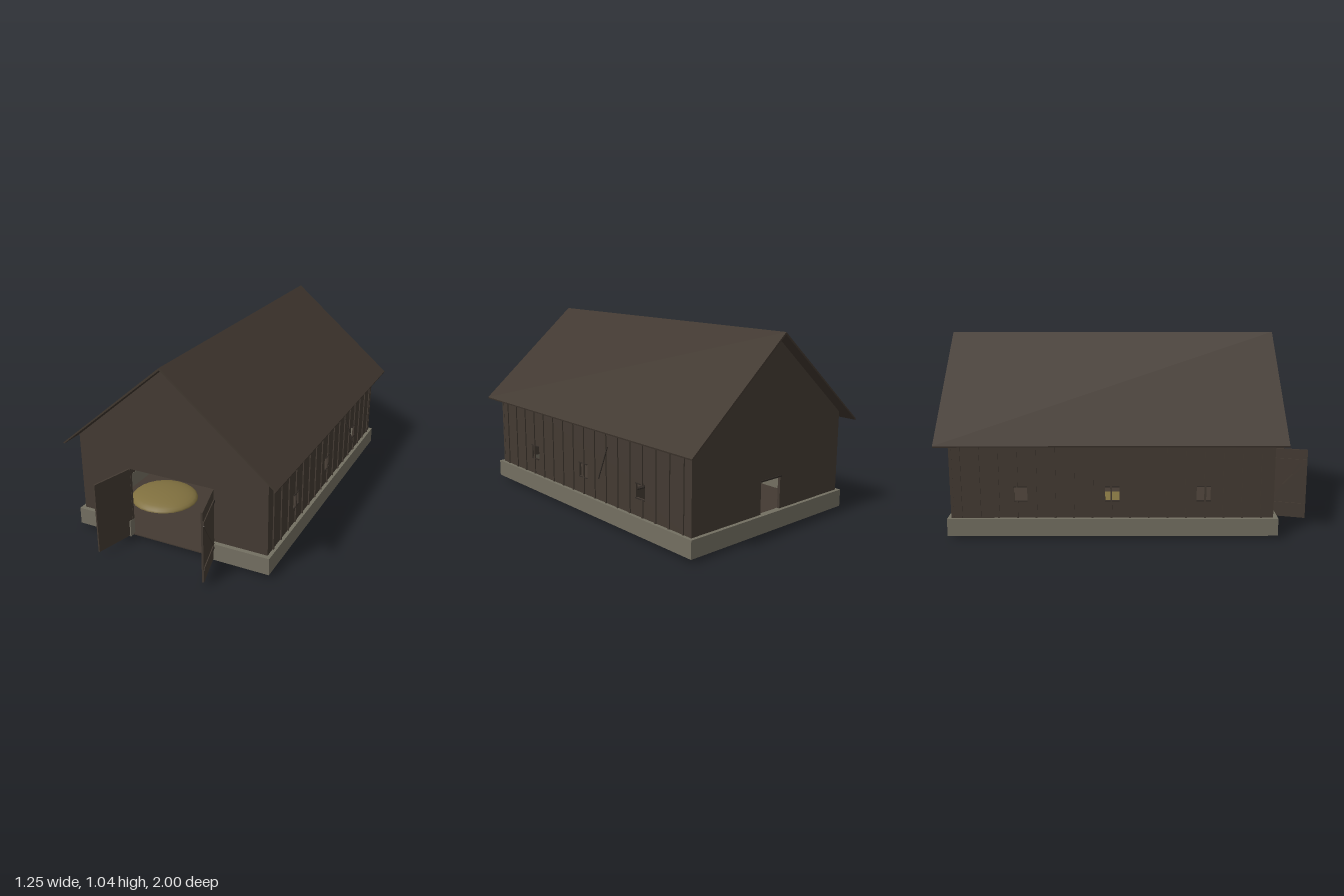
import * as THREE from 'three';

const mat = (name, color, opts = {}) => {
  const m = new THREE.MeshStandardMaterial({ color, ...opts });
  m.name = name;
  return m;
};

const CX = -0.012; // ridge line

export function createModel() {
  const barn = new THREE.Group();
  barn.name = 'barn';
  const wood = mat('wall wood', 0x433a32);
  const roofWood = mat('roof wood', 0x40372f);
  const darkWood = mat('dark wood', 0x302a25);
  const stone = mat('foundation stone', 0x736f61);
  const hay = mat('hay', 0x80703f);

  const add = (name, geo, material, parent = barn) => {
    const m = new THREE.Mesh(geo, material);
    m.name = name;
    parent.add(m);
    return m;
  };
  // Box given by its minimum and maximum on each axis
  const box = (name, material, [x0, x1], [y0, y1], [z0, z1], parent = barn) => {
    const m = add(name, new THREE.BoxGeometry(x1 - x0, y1 - y0, z1 - z0), material, parent);
    m.position.set((x0 + x1) / 2, (y0 + y1) / 2, (z0 + z1) / 2);
    return m;
  };
  const polygon = (pts) => new THREE.Shape(pts.map(([x, y]) => new THREE.Vector2(x, y)));
  const rect = (x0, x1, y0, y1) => polygon([[x0, y0], [x1, y0], [x1, y1], [x0, y1]]);
  const extrude = (shape, depth) => new THREE.ExtrudeGeometry(shape, { depth, bevelEnabled: false });
  // Thin bar between two points
  const bar = (name, material, a, b, w, d, parent = barn) => {
    const p = new THREE.Vector3(...a), q = new THREE.Vector3(...b);
    const m = add(name, new THREE.BoxGeometry(w, p.distanceTo(q), d), material, parent);
    m.position.copy(p).add(q).multiplyScalar(0.5);
    m.quaternion.setFromUnitVectors(new THREE.Vector3(0, 1, 0), q.sub(p).normalize());
    return m;
  };

  // Base, floor and foundation, open at the front door
  box('base', darkWood, [-0.525, 0.5], [0, 0.021], [-0.9, 0.735]);
  box('floor', wood, [-0.55, 0.525], [0.019, 0.025], [-0.92, 0.77]);
  const FY = [0.02, 0.115];
  box('foundationLeft', stone, [0.525, 0.56], FY, [-0.955, 0.795]);
  box('foundationRight', stone, [-0.585, -0.55], FY, [-0.955, 0.795]);
  box('foundationBack', stone, [-0.55, 0.525], FY, [-0.955, -0.92]);
  box('foundationFrontLeft', stone, [0.23, 0.525], FY, [0.755, 0.795]);
  box('foundationFrontRight', stone, [-0.55, -0.255], FY, [0.755, 0.795]);

  // Gable walls
  const gable = (name, z, opening) => {
    const [x0, x1, y0, y1] = opening;
    const s = polygon([[-0.565, 0.115], [x0, 0.115], [x0, y1], [x1, y1], [x1, y0],
      [x1, 0.115], [0.541, 0.115], [0.541, 0.56], [CX, 1.025], [-0.565, 0.56]]);
    add(name, extrude(s, 0.015), wood).position.z = z;
  };
  gable('frontWall', 0.755, [-0.255, 0.23, 0.115, 0.42]);
  gable('backWall', -0.935, [-0.087, 0.06, 0.115, 0.287]);
  box('backDoorLintel', darkWood, [-0.095, 0.068], [0.287, 0.295], [-0.94, -0.93]);

  // Side walls with windows, frames and battens
  const windows = [[0.362, 0.437], [-0.12, -0.045], [-0.6, -0.53]];
  for (const side of [1, -1]) {
    const label = side > 0 ? 'left' : 'right';
    const s = rect(-0.935, 0.77, 0.115, 0.562);
    for (const [a, b] of windows) s.holes.push(rect(a, b, 0.21, 0.285));
    const geo = extrude(s, 0.012).rotateY(-Math.PI / 2); // shape x becomes z
    add(label + 'SideWall', geo, wood).position.x = side > 0 ? 0.54 : -0.552;
    const x = CX + side * 0.5545;
    for (let k = -13; k <= 3; k++) {
      const z = 0.407 + k * 0.099;
      const spans = k === -10 ? [[0.115, 0.21], [0.285, 0.555]] : [[0.115, 0.555]];
      for (const y of spans) box(label + 'Batten', wood, [x - 0.004, x + 0.004], y, [z - 0.005, z + 0.005]);
    }
    for (const [a, b] of windows)
      for (const y of [0.207, 0.285])
        box(label + 'WindowTrim', darkWood, [x - 0.003, x + 0.003], [y, y + 0.004], [a, b]);
  }

  // Roof as one folded sheet
  const roof = polygon([[-0.627, 0.515], [CX, 1.028], [0.603, 0.515],
    [0.605, 0.523], [CX, 1.041], [-0.629, 0.523]]);
  add('roof', extrude(roof, 1.83), roofWood).position.z = -1;

  // Open front doors, with ledges, braces and hinges on the outer face
  for (const side of [1, -1]) {
    const door = new THREE.Group();
    door.name = side > 0 ? 'leftDoor' : 'rightDoor';
    box('doorPanel', wood, [-0.005, 0.005], [0.025, 0.42], [0, 0.236], door);
    const ox = side * 0.007;
    for (const y of [0.09, 0.345])
      box('doorLedge', wood, [ox - 0.003, ox + 0.003], [y, y + 0.02], [0.01, 0.23], door);
    bar('doorBrace', wood, [ox, 0.11, 0.025], [ox, 0.345, 0.225], 0.006, 0.014, door);
    for (const y of [0.09, 0.35])
      box('hinge', darkWood, [ox - 0.005, ox + 0.005], [y, y + 0.012], [0, 0.05], door);
    door.position.set(CX + side * 0.248, 0, 0.77);
    door.rotation.y = side * 0.26;
    barn.add(door);
  }

  // Pole leaning out from the left side
  bar('sidePole', darkWood, [0.562, 0.433, -0.327], [0.621, 0.275, -0.327], 0.005, 0.005);

  // Loft with its posts and hay
  box('loftFloor', wood, [-0.55, 0.525], [0.372, 0.384], [-0.92, 0.1]);
  for (const x of [-0.12, 0.155])
    for (const z of [0.09, -0.4]) box('loftPost', wood, [x - 0.009, x + 0.009], [0.025, 0.372], [z - 0.009, z + 0.009]);
  for (let i = 0; i < 4; i++)
    box('loftBale', hay, [-0.5 + i * 0.13, -0.375 + i * 0.13], [0.384, 0.454], [-0.3, -0.1]);

  // Ground floor: hay heap, bales and low partition
  const heap = add('hayHeap', new THREE.SphereGeometry(0.2, 24, 8, 0, Math.PI * 2, 0, Math.PI / 2), hay);
  heap.scale.set(1, 0.26, 0.95);
  heap.position.set(-0.31, 0.024, 0.35);
  for (let i = 0; i < 3; i++)
    box('groundBale', hay, [-0.5 + i * 0.131, -0.373 + i * 0.131], [0.025, 0.113], [-0.2, 0.02]);
  box('partition', wood, [-0.108, 0.525], [0.025, 0.113], [-0.22, -0.2]);
  box('partitionRail', darkWood, [-0.54, 0.525], [0.113, 0.12], [-0.225, -0.195]);

  // Ladder to the loft
  for (const x of [0.083, 0.135])
    box('ladderRail', darkWood, [x - 0.004, x + 0.004], [0.025, 0.47], [0.11, 0.122]);
  for (let y = 0.06; y < 0.46; y += 0.034)
    box('ladderRung', darkWood, [0.083, 0.135], [y, y + 0.006], [0.112, 0.119]);

  // Crate, bale and stool in the corner
  box('cornerBale', hay, [0.165, 0.23], [0.025, 0.07], [0.1, 0.2]);
  box('crate', darkWood, [0.175, 0.26], [0.07, 0.165], [0.1, 0.18]);
  return barn;
}
